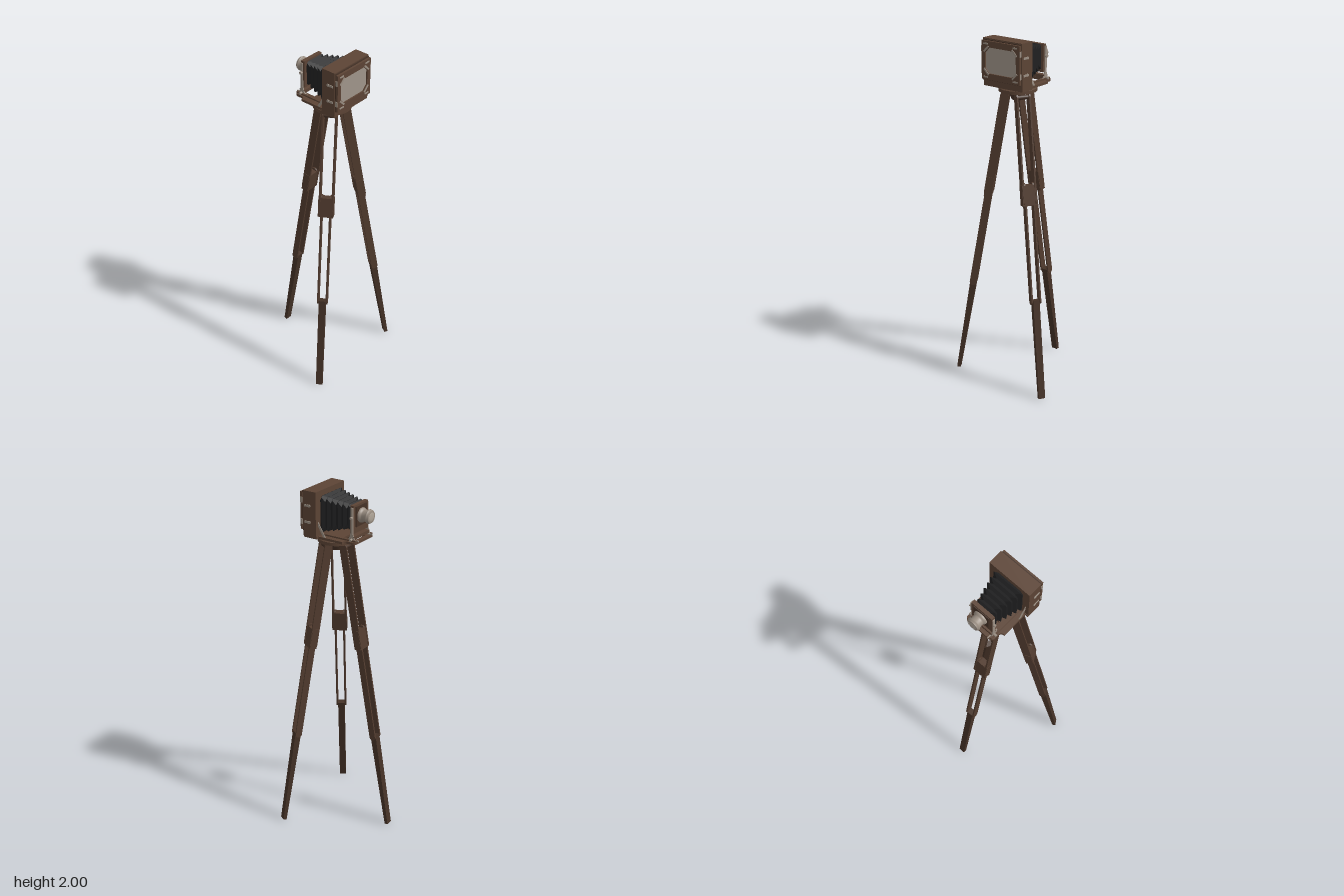
import * as THREE from 'three';

const mat = (name, color, extra = {}) => Object.assign(new THREE.MeshStandardMaterial({ color, ...extra }), { name });

export function createModel() {
  const wood = mat('walnut', 0x5c4435);
  const legWood = mat('legWood', 0x523c2f);
  const darkWood = mat('darkWood', 0x453227);
  const leather = mat('blackLeather', 0x1f1f20, { flatShading: true });
  const metal = mat('agedMetal', 0x9a8e82);
  const glass = mat('groundGlass', 0xa0958a);
  const lensGlass = mat('lensGlass', 0xb0a598);

  const root = new THREE.Group();
  root.name = 'fieldCamera';
  const add = (parent, name, geo, material, x = 0, y = 0, z = 0) => {
    const m = new THREE.Mesh(geo, material);
    m.name = name;
    m.position.set(x, y, z);
    parent.add(m);
    return m;
  };
  const box = (parent, name, material, w, h, d, x, y, z) =>
    add(parent, name, new THREE.BoxGeometry(w, h, d), material, x, y, z);
  const extrude = (shape, depth, bevel = 0) => new THREE.ExtrudeGeometry(shape, {
    depth, curveSegments: 8, bevelEnabled: bevel > 0, bevelSize: bevel, bevelThickness: bevel, bevelSegments: 2,
  });
  const polygon = (pts) => new THREE.Shape(pts.map(([x, y]) => new THREE.Vector2(x, y)));

  // ---- Tripod ----
  const tripod = new THREE.Group();
  tripod.name = 'tripod';
  tripod.position.x = 0.08;
  root.add(tripod);
  const disc = (name, r0, r1, h, y, m) => add(tripod, name, new THREE.CylinderGeometry(r0, r1, h, 40), m, 0, y, 0);
  disc('headPlate', 0.105, 0.105, 0.018, 1.717, wood);
  disc('headPlateEdge', 0.098, 0.105, 0.005, 1.7285, wood);
  disc('turntable', 0.085, 0.085, 0.012, 1.735, darkWood);
  disc('headHub', 0.05, 0.035, 0.05, 1.685, darkWood);

  // Round-ended slat, running down from y0 to y1 in leg space
  const slat = (leg, name, y0, y1, depth, thick, z, m) => {
    const r = depth / 2;
    const s = new THREE.Shape();
    s.absarc(0, y0 - r, r, 0, Math.PI, false);
    s.absarc(0, y1 + r, r, Math.PI, Math.PI * 2, false);
    add(leg, name, extrude(s, thick), m, 0, 0, z - thick / 2);
  };

  const tilt = Math.atan2(0.295, 1.7);
  for (const angle of [Math.PI, Math.PI / 3, -Math.PI / 3]) {
    const spoke = new THREE.Group();
    spoke.name = 'legSpoke';
    spoke.rotation.y = angle;
    tripod.add(spoke);
    const leg = new THREE.Group();
    leg.name = 'tripodLeg';
    leg.position.set(0.065, 1.7, 0);
    leg.rotation.z = tilt;
    spoke.add(leg);
    for (const s of [-1, 1]) {
      slat(leg, 'upperRail', 0.008, -0.61, 0.046, 0.009, s * 0.0355, legWood);
      slat(leg, 'middleRail', -0.48, -1.17, 0.038, 0.009, s * 0.0245, legWood);
    }
    const pin = add(leg, 'hingePin', new THREE.CylinderGeometry(0.012, 0.012, 0.066, 16), darkWood, 0, -0.016, 0);
    pin.rotation.x = Math.PI / 2;
    box(leg, 'clampBlock', legWood, 0.04, 0.115, 0.085, 0, -0.55, 0);
    // Tapered lower leg
    const foot = polygon([[-0.018, -1.145], [-0.01, -1.723], [0.01, -1.723], [0.018, -1.145]]);
    add(leg, 'lowerLeg', extrude(foot, 0.038), darkWood, 0, 0, -0.019);
  }

  // ---- Camera bed ----
  const camera = new THREE.Group();
  camera.name = 'camera';
  root.add(camera);
  const bed = new THREE.Shape();
  bed.moveTo(0.2, -0.116);
  bed.lineTo(0.2, 0.116);
  bed.lineTo(-0.035, 0.116);
  bed.quadraticCurveTo(-0.035, 0.093, -0.055, 0.093);
  bed.lineTo(-0.078, 0.093);
  bed.quadraticCurveTo(-0.102, 0.093, -0.102, 0.068);
  bed.lineTo(-0.102, -0.068);
  bed.quadraticCurveTo(-0.102, -0.093, -0.078, -0.093);
  bed.lineTo(-0.055, -0.093);
  bed.quadraticCurveTo(-0.035, -0.093, -0.035, -0.116);
  const opening = new THREE.Path();
  [[-0.075, -0.05], [0.0, -0.05], [0.0, 0.05], [-0.075, 0.05]].forEach(([x, y], i) =>
    i ? opening.lineTo(x, y) : opening.moveTo(x, y));
  bed.holes.push(opening);
  const bedMesh = add(camera, 'bed', extrude(bed, 0.013), wood, 0, 1.752, 0);
  bedMesh.rotation.x = Math.PI / 2;

  for (const s of [-1, 1]) {
    box(camera, 'focusRail', metal, 0.07, 0.006, 0.006, -0.072, 1.755, s * 0.066);
    box(camera, 'bedRunner', wood, 0.22, 0.008, 0.012, 0.013, 1.756, s * 0.078);
    // Upright brace of the front standard
    const brace = polygon([[-0.09, 1.752], [-0.04, 1.752], [-0.056, 1.775], [-0.062, 1.8], [-0.062, 1.935],
      [-0.076, 1.935], [-0.076, 1.79]]);
    add(camera, 'standardBrace', extrude(brace, 0.006), metal, 0, 0, s * 0.073 - 0.003);
    const knob = add(camera, 'standardKnob', new THREE.CylinderGeometry(0.008, 0.008, 0.014, 16), metal, -0.069, 1.88, s * 0.079);
    knob.rotation.x = Math.PI / 2;
    const foot = add(camera, 'bedKnob', new THREE.CylinderGeometry(0.007, 0.007, 0.016, 16), metal, -0.069, 1.76, s * 0.084);
    foot.rotation.x = Math.PI / 2;
    // Folding strut from bed to body
    const strut = polygon([[0.075, 1.752], [0.09, 1.752], [0.13, 1.82], [0.13, 1.845]]);
    add(camera, 'bedStrut', extrude(strut, 0.004), metal, 0, 0, s * 0.112 - 0.002);
  }

  // ---- Front standard and lens ----
  box(camera, 'frontStandard', wood, 0.022, 0.155, 0.136, -0.066, 1.868, 0);
  box(camera, 'standardFoot', wood, 0.03, 0.018, 0.15, -0.068, 1.768, 0);
  box(camera, 'lensBoard', darkWood, 0.006, 0.11, 0.1, -0.079, 1.88, 0);
  const barrel = [[0.024, 0.064], [0.033, 0.064], [0.035, 0.061], [0.035, 0.056], [0.039, 0.053], [0.039, 0.049],
    [0.034, 0.046], [0.032, 0.022], [0.034, 0.016], [0.039, 0.012], [0.041, 0.006], [0.041, 0]]
    .map(([r, y]) => new THREE.Vector2(r, y)).reverse();
  const lens = add(camera, 'lensBarrel', new THREE.LatheGeometry(barrel, 32), metal, -0.081, 1.88, 0);
  lens.rotation.z = Math.PI / 2;
  const front = add(camera, 'lensGlass', new THREE.SphereGeometry(0.026, 24, 8, 0, Math.PI * 2, 0, Math.PI / 2), lensGlass, -0.143, 1.88, 0);
  front.scale.y = 0.15;
  front.rotation.z = Math.PI / 2;

  // ---- Bellows: chamfered sections, alternating ridge and valley ----
  const folds = 6, rings = [];
  for (let i = 0; i <= folds * 2; i++) {
    const t = i / (folds * 2);
    const k = i % 2 ? 0.005 : -0.005;
    const h = 0.062 + 0.038 * t + k, w = 0.054 + 0.04 * t + k;
    const c = i % 2 ? 0.008 : 0.022;
    const cy = 1.878 - 0.006 * t, x = -0.056 + 0.182 * t;
    rings.push([[h, -w + c], [h, w - c], [h - c, w], [-h + c, w], [-h, w - c], [-h, -w + c], [-h + c, -w], [h - c, -w]]
      .map(([y, z]) => [x, cy + y, z]));
  }
  const pos = [];
  for (let i = 0; i < folds * 2; i++) {
    for (let j = 0; j < 8; j++) {
      const n = (j + 1) % 8;
      const a = rings[i][j], b = rings[i][n], c = rings[i + 1][j], d = rings[i + 1][n];
      pos.push(...a, ...b, ...c, ...b, ...d, ...c);
    }
  }
  const bellows = new THREE.BufferGeometry();
  bellows.setAttribute('position', new THREE.Float32BufferAttribute(pos, 3));
  bellows.computeVertexNormals();
  add(camera, 'bellows', bellows, leather);

  // ---- Body ----
  box(camera, 'body', wood, 0.084, 0.25, 0.266, 0.165, 1.875, 0);
  box(camera, 'bodyFoot', wood, 0.085, 0.016, 0.266, 0.162, 1.748, 0);
  box(camera, 'backSeam', darkWood, 0.008, 0.22, 0.256, 0.21, 1.885, 0);

  // Rear frame with an eight-sided opening around the focusing screen
  const octagon = (Cls, w, h, c) => {
    const p = new Cls();
    [[-w, -h + c], [-w + c, -h], [w - c, -h], [w, -h + c], [w, h - c], [w - c, h], [-w + c, h], [-w, h - c]]
      .forEach(([x, y], i) => (i ? p.lineTo(x, y) : p.moveTo(x, y)));
    p.closePath();
    return p;
  };
  const frame = polygon([[-0.13, -0.105], [0.13, -0.105], [0.13, 0.105], [-0.13, 0.105]]);
  frame.holes.push(octagon(THREE.Path, 0.105, 0.071, 0.028));
  const rearFrame = add(camera, 'rearFrame', extrude(frame, 0.013), wood, 0.213, 1.885, 0);
  rearFrame.rotation.y = Math.PI / 2;
  const pane = add(camera, 'focusingScreen', extrude(octagon(THREE.Shape, 0.106, 0.072, 0.028), 0.004), glass, 0.214, 1.885, 0);
  pane.rotation.y = Math.PI / 2;

  for (const sz of [-1, 1]) {
    for (const sy of [-1, 1]) {
      // Diagonal corner plates of the screen
      const plate = box(camera, 'cornerPlate', metal, 0.003, 0.01, 0.045, 0.2275, 1.885 + sy * 0.062, sz * 0.096);
      plate.rotation.x = sy * sz * Math.PI / 4;
      box(camera, 'frameCatch', metal, 0.004, 0.008, 0.03, 0.227, 1.885 + sy * 0.09, sz * 0.1);
      // Side catches
      box(camera, 'sideCatch', metal, 0.034, 0.012, 0.005, 0.18, 1.873 + sy * 0.046, sz * 0.134);
      const stud = add(camera, 'sideStud', new THREE.CylinderGeometry(0.008, 0.008, 0.007, 16), metal, 0.165, 1.873 + sy * 0.046, sz * 0.1345);
      stud.rotation.x = Math.PI / 2;
      box(camera, 'edgeHinge', metal, 0.012, 0.03, 0.004, 0.218, 1.885 + sy * 0.06, sz * 0.131);
    }
  }
  return root;
}
